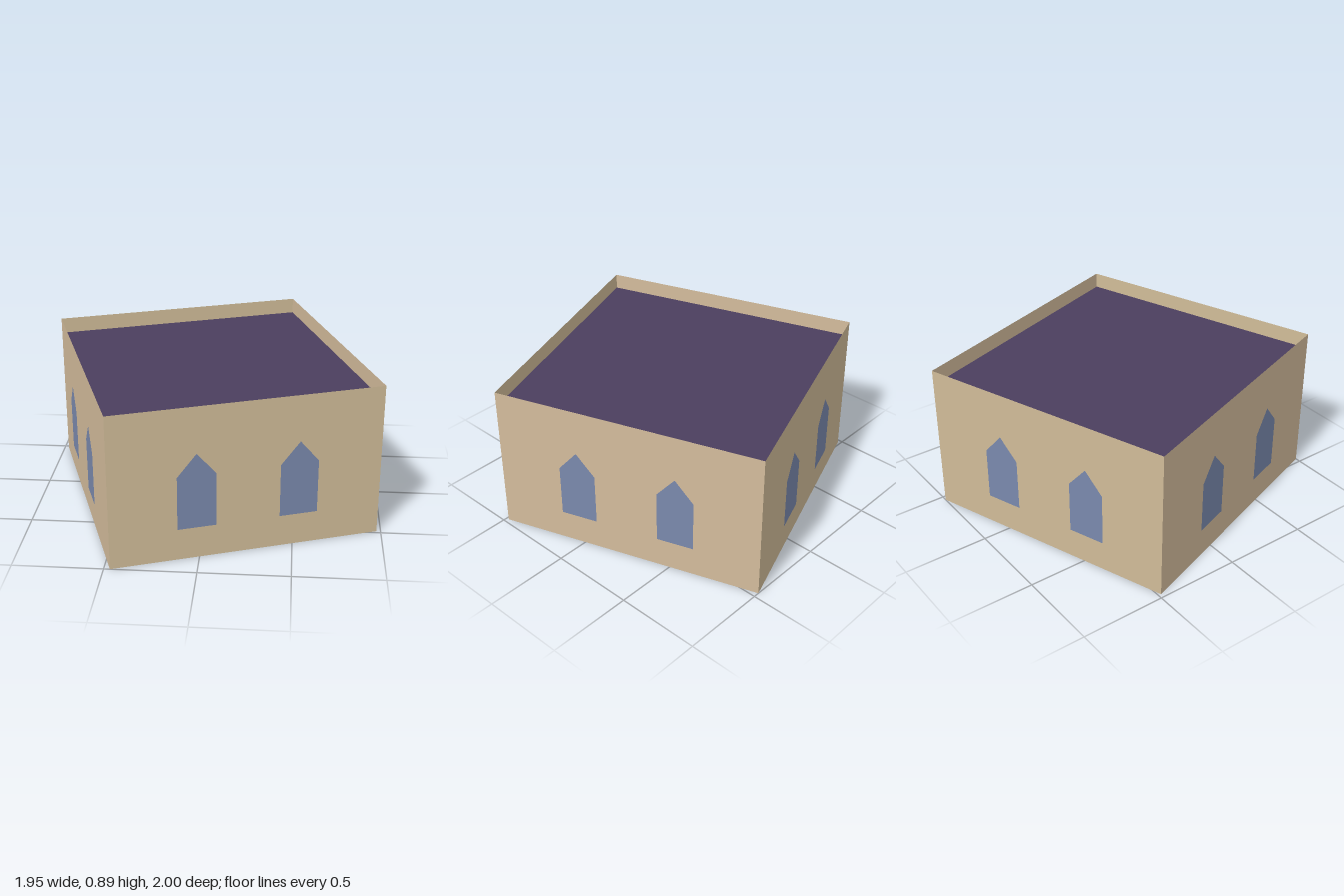
import * as THREE from 'three';

const HEIGHT = 0.89;
const ROOF_Y = 0.797;
const WINDOW_GAP = 0.012;

// Plan corners (x, z): front-left as seen, then round to the right, back and left
const CORNERS = [[-0.466, 1], [0.976, 0.483], [0.466, -1], [-0.976, -0.483]];

const flat = (name, color, side = THREE.FrontSide) => {
  const m = new THREE.MeshStandardMaterial({ color, side });
  m.name = name;
  return m;
};

function addMesh(parent, name, geometry, material) {
  const mesh = new THREE.Mesh(geometry, material);
  mesh.name = name;
  parent.add(mesh);
  return mesh;
}

// Pointed window outline, centred on x = 0
function windowShape() {
  const w = 0.108;
  return new THREE.Shape([[-w, 0.19], [w, 0.19], [w, 0.5], [0, 0.627], [-w, 0.5]]
    .map(([x, y]) => new THREE.Vector2(x, y)));
}

export function createModel() {
  const model = new THREE.Group();
  model.name = 'house';

  const frontBackWall = flat('sandstone', 0xd0bc98, THREE.DoubleSide);
  const sideWall = flat('warm sandstone', 0xd3bc9c, THREE.DoubleSide);
  const glass = flat('blue glass', 0x7a89ad);
  const slate = flat('purple roof', 0x4b3f5e, THREE.DoubleSide);

  const windowGeometry = new THREE.ShapeGeometry(windowShape());

  // Four thin walls, each with a pair of windows on its outer face
  ['front', 'right', 'back', 'left'].forEach((name, i) => {
    const [x0, z0] = CORNERS[i];
    const [x1, z1] = CORNERS[(i + 1) % 4];
    const length = Math.hypot(x1 - x0, z1 - z0);

    const side = new THREE.Group();
    side.name = `${name}Side`;
    side.position.set((x0 + x1) / 2, 0, (z0 + z1) / 2);
    side.rotation.y = Math.atan2(z0 - z1, x1 - x0);
    model.add(side);

    const wall = new THREE.PlaneGeometry(length, HEIGHT).translate(0, HEIGHT / 2, 0);
    addMesh(side, `${name}Wall`, wall, i % 2 ? sideWall : frontBackWall);

    for (const s of [-1, 1]) {
      const pane = addMesh(side, `${name}Window`, windowGeometry, glass);
      pane.position.set(s * 0.1875 * length, 0, WINDOW_GAP);
    }
  });

  // Flat roof sunk below the wall tops
  const plan = new THREE.Shape(CORNERS.map(([x, z]) => new THREE.Vector2(x, -z)));
  const roof = new THREE.ShapeGeometry(plan).rotateX(-Math.PI / 2).translate(0, ROOF_Y, 0);
  addMesh(model, 'roof', roof, slate);

  return model;
}
